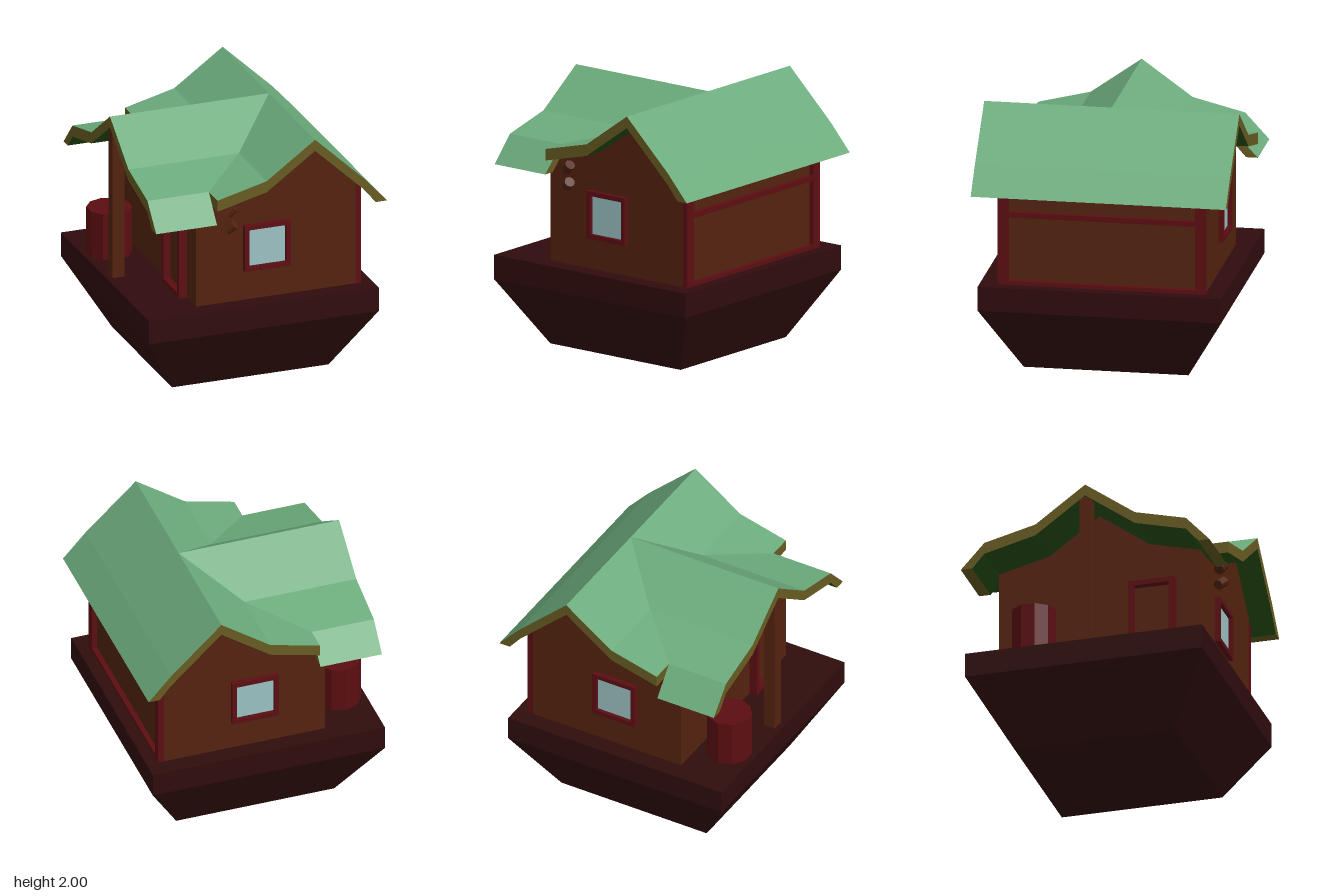
import * as THREE from 'three';

const mat = (name, color, extra = {}) => {
  const m = new THREE.MeshStandardMaterial({ color, ...extra });
  m.name = name;
  return m;
};

export function createModel() {
  const model = new THREE.Group();
  model.name = 'cottage';
  const two = { side: THREE.DoubleSide };
  const roofGreen = mat('roofGreen', 0x6cab7c, two);
  const underGreen = mat('undersideGreen', 0x264f14, two);
  const olive = mat('oliveTrim', 0x685c22, two);
  const brown = mat('wallBrown', 0x54230f);
  const red = mat('frameRed', 0x5c0e12);
  const maroon = mat('baseMaroon', 0x300c0d);
  const glass = mat('windowGlass', 0x9bc2c3);

  const add = (name, geo, material, parent = model) => {
    const m = new THREE.Mesh(geo, material);
    m.name = name;
    parent.add(m);
    return m;
  };
  // Box given by its two corners
  const box = (name, x0, x1, y0, y1, z0, z1, material, parent) => {
    const g = new THREE.BoxGeometry(x1 - x0, y1 - y0, z1 - z0);
    g.translate((x0 + x1) / 2, (y0 + y1) / 2, (z0 + z1) / 2);
    return add(name, g, material, parent);
  };
  // Mesh made of flat quads
  const quads = (name, list, material) => {
    const pos = [];
    for (const [a, b, c, d] of list) pos.push(...a, ...b, ...c, ...a, ...c, ...d);
    const g = new THREE.BufferGeometry();
    g.setAttribute('position', new THREE.Float32BufferAttribute(pos, 3));
    g.computeVertexNormals();
    // Turn the winding so every face points up for consistent lighting
    return add(name, g, material);
  };

  // Base: slab on a tapering foot
  box('baseSlab', -0.95, 0.9, 0.51, 0.7, -0.93, 0.93, maroon);
  const foot = new THREE.BoxGeometry(1.85, 0.51, 1.86);
  const fp = foot.attributes.position;
  for (let i = 0; i < fp.count; i++) {
    if (fp.getY(i) < 0) fp.setXYZ(i, fp.getX(i) * 0.681 + 0.005, fp.getY(i), fp.getZ(i) * 0.677);
  }
  foot.computeVertexNormals();
  foot.translate(-0.025, 0.255, 0);
  add('baseFoot', foot, maroon);

  // House body: main gabled block and the crossing gable
  const prism = (points, depth) => new THREE.ExtrudeGeometry(
    new THREE.Shape(points.map(p => new THREE.Vector2(...p))), { depth, bevelEnabled: false });
  const main = prism([[-0.52, 0.7], [0.77, 0.7], [0.77, 1.55], [0.37, 1.93],
    [-0.02, 1.65], [-0.42, 1.55], [-0.52, 1.53]], 1.58);
  add('mainWalls', main.translate(0, 0, -0.79), brown);
  const cross = prism([[-0.79, 0.7], [0.79, 0.7], [0.79, 1.55], [0.39, 1.65],
    [0, 1.93], [-0.39, 1.65], [-0.79, 1.55]], 0.89);
  add('porchWall', cross.rotateY(-Math.PI / 2).translate(0.37, 0, 0), brown);

  // Roof: the same corner points for the top and the underside layers
  const layer = (y, rx, fz) => {
    const L = {
      right: [], left: [[], []], cross: [[], []],
    };
    const xr = [0.37, 0.77, rx];
    const yr = [y[0], y[2], y[3]];
    L.right = xr.map((x, i) => [[x, yr[i], -0.975], [x, yr[i], 0.975]]);
    const xl = [0.37, -0.02, -0.415];
    const zc = [0, 0.39, 0.79, fz];
    [1, -1].forEach((s, k) => {
      L.left[k] = xl.map((x, i) => [[x, y[i], s * zc[i]], [x, y[i], s * 0.975]]);
      L.cross[k] = zc.map((z, i) => [[i < 3 ? xl[i] : -0.42, y[i], s * z], [-0.91, y[i], s * z]]);
    });
    return L;
  };
  const top = layer([2, 1.72, 1.62, 1.42], 0.95, 0.975);
  const under = layer([1.91, 1.63, 1.53, 1.42], 0.86, 0.885);
  const strips = L => [L.right, ...L.left, ...L.cross];
  // Quads between neighbouring rows, wound to face up or down
  const skin = (L, up) => strips(L).flatMap(rows => rows.slice(1).map((r, i) => {
    const q = [rows[i][0], rows[i][1], r[1], r[0]];
    const v = q.map(p => new THREE.Vector3(...p));
    const ny = v[2].clone().sub(v[0]).cross(v[3].clone().sub(v[1])).y;
    return (ny > 0) === up ? q : q.reverse();
  }));
  quads('roofTop', skin(top, true), roofGreen);
  quads('roofUnderside', skin(under, false), underGreen);
  // Trim bands joining the two layers along gables and eaves
  const bands = [];
  const band = (pick) => {
    const t = pick(top), u = pick(under);
    for (let i = 1; i < t.length; i++) {
      const q = [t[i - 1], t[i], u[i], u[i - 1]];
      const v = q.map(p => new THREE.Vector3(...p));
      const n = v[2].clone().sub(v[0]).cross(v[3].clone().sub(v[1]));
      const outward = pick.out;
      bands.push(n.dot(outward) > 0 ? q : q.reverse());
    }
  };
  const edge = (x, y, z, pick) => band(Object.assign(pick, { out: new THREE.Vector3(x, y, z) }));
  [1, -1].forEach((s, k) => {
    edge(0, 0, s, L => L.right.map(r => r[k ? 0 : 1]));
    edge(0, 0, s, L => L.left[k].map(r => r[1]));
    edge(-1, 0, 0, L => L.cross[k].map(r => r[1]));
    edge(-1, 0, 0, L => L.left[k][2]);
    edge(1, 0, 0, L => L.cross[k].slice(2).map(r => r[0]));
    edge(0, -1, 0, L => L.cross[k][3]);
  });
  edge(0, -1, 0, L => L.right[2]);
  quads('roofTrim', bands, olive);

  // Timber frame on the long side wall
  const timber = new THREE.Group();
  timber.name = 'sideTimberFrame';
  model.add(timber);
  for (const s of [1, -1]) {
    box('cornerPost', 0.765, 0.81, 0.7, 1.5, s > 0 ? 0.715 : -0.793, s > 0 ? 0.793 : -0.715, red, timber);
  }
  for (const [y0, y1] of [[0.7, 0.73], [1.23, 1.27], [1.46, 1.5]]) {
    box('rail', 0.765, 0.81, y0, y1, -0.715, 0.715, red, timber);
  }

  // Framed opening with a filling, facing +z
  const framed = (name, w, h, b, depth, filling, fillName) => {
    const g = new THREE.Group();
    g.name = name;
    const s = new THREE.Shape([[-w, -h], [w, -h], [w, h], [-w, h]].map(p => new THREE.Vector2(...p)));
    const a = w - b, c = h - b;
    s.holes.push(new THREE.Path([[-a, -c], [-a, c], [a, c], [a, -c]].map(p => new THREE.Vector2(...p))));
    add(name + 'Frame', new THREE.ExtrudeGeometry(s, { depth, bevelEnabled: false }), red, g);
    box(fillName, -a, a, -c, c, 0.002, 0.01, filling, g);
    model.add(g);
    return g;
  };
  for (const s of [1, -1]) {
    const w = framed('window', 0.185, 0.185, 0.035, 0.04, glass, 'pane');
    w.position.set(0.045, 1.125, s * 0.79);
    if (s < 0) w.rotation.y = Math.PI;
  }
  const door = framed('door', 0.18, 0.305, 0.04, 0.065, brown, 'doorPanel');
  door.position.set(-0.52, 1.005, 0.42);
  door.rotation.y = -Math.PI / 2;

  // Porch post and barrel
  box('porchPost', -0.905, -0.812, 0.7, 1.9, -0.046, 0.046, brown);
  const barrel = new THREE.CylinderGeometry(0.172, 0.172, 0.37, 10).toNonIndexed();
  barrel.computeVertexNormals();
  add('barrel', barrel, red).position.set(-0.745, 0.885, -0.45);

  // Two small logs hanging by the front eave
  [[1.48, -0.75, 0.3], [1.35, -0.75, 0.55]].forEach(([y, rz, rx]) => {
    const g = new THREE.CylinderGeometry(0.04, 0.04, 0.08, 10).toNonIndexed();
    g.computeVertexNormals();
    const log = add('hangingLog', g, brown);
    log.position.set(-0.275, y, 0.88);
    log.rotation.set(rx, 0, rz);
  });

  return model;
}
